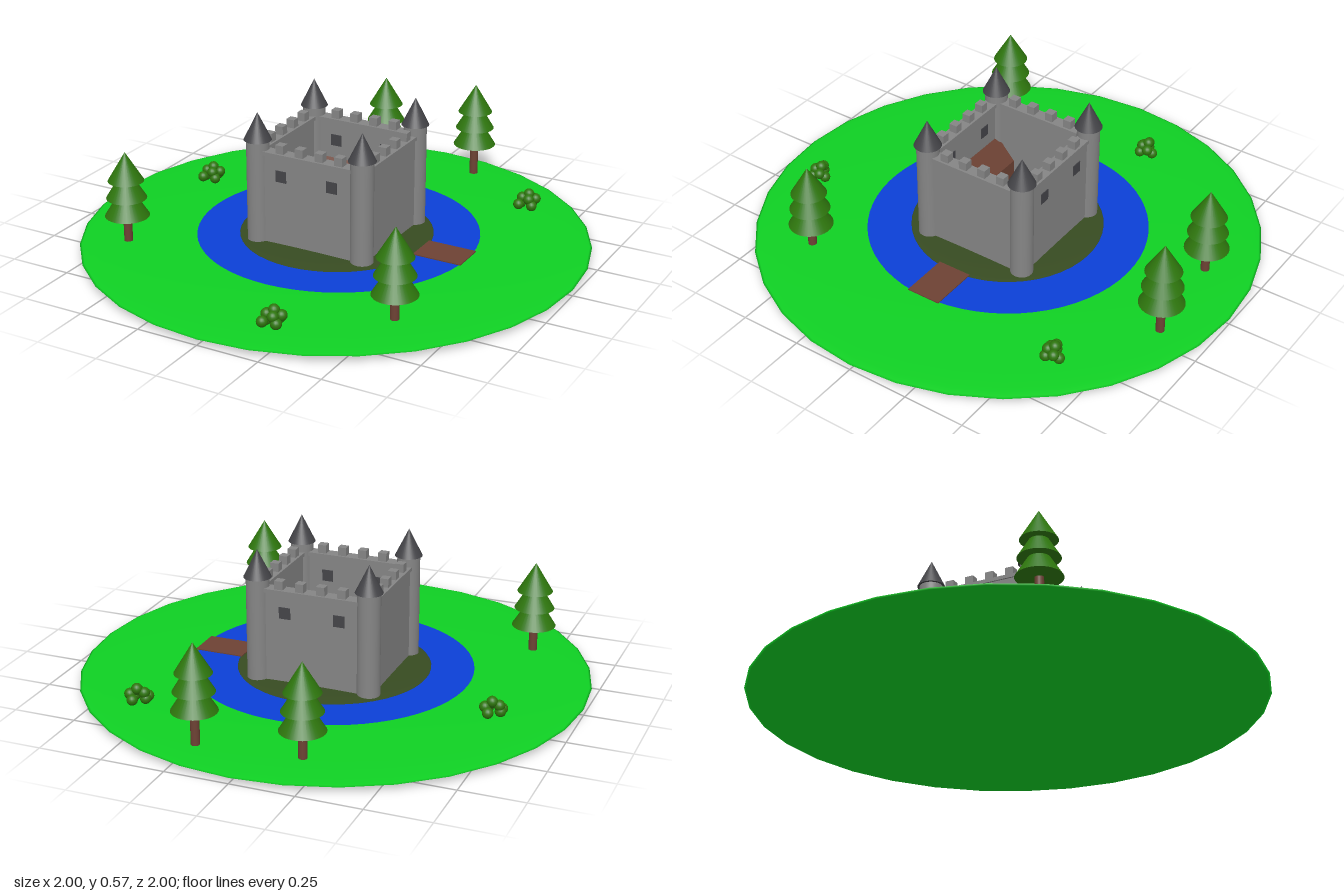
import * as THREE from 'three';

const mat = (name, color, extra = {}) => Object.assign(new THREE.MeshStandardMaterial({ color, ...extra }), { name });

export function createModel() {
  const root = new THREE.Group();
  root.name = 'moatedCastle';
  const grass = mat('grassGreen', 0x0fd023);
  const water = mat('waterBlue', 0x0b3fd6, { side: THREE.DoubleSide });
  const earth = mat('earthOlive', 0x374b21);
  const stone = mat('stoneGrey', 0x858585);
  const slate = mat('slateGrey', 0x444448);
  const wood = mat('woodBrown', 0x6d4234);
  const leaf = mat('leafGreen', 0x2e760d);

  const add = (parent, name, geo, material, x = 0, y = 0, z = 0) => {
    const m = new THREE.Mesh(geo, material);
    m.name = name;
    m.position.set(x, y, z);
    parent.add(m);
    return m;
  };
  const box = (parent, name, material, sx, sy, sz, x, y, z) =>
    add(parent, name, new THREE.BoxGeometry(sx, sy, sz), material, x, y, z);

  // Land: a flattened ball, with the moat and castle mound on top
  const R = 0.023;
  const groundAt = (x, z) => R + R * Math.sqrt(Math.max(0, 1 - x * x - z * z));
  add(root, 'meadow', new THREE.SphereGeometry(1, 32, 24).scale(1, R, 1), grass, 0, R, 0);
  add(root, 'moat', new THREE.RingGeometry(0.34, 0.555, 64).rotateX(-Math.PI / 2), water, 0.01, 0.0465, -0.006);
  add(root, 'mound', new THREE.SphereGeometry(0.385, 48, 16).scale(1, 0.03, 1), earth, 0.005, 0.045, 0);
  box(root, 'bridge', wood, 0.2, 0.004, 0.14, 0.47, 0.051, -0.008);

  // Castle, centred on its own courtyard
  const castle = new THREE.Group();
  castle.name = 'castle';
  castle.position.set(0.004, 0, -0.005);
  root.add(castle);
  const TX = 0.226, TZ = 0.217, base = 0.045, top = 0.41;

  for (const sx of [-1, 1]) for (const sz of [-1, 1]) {
    add(castle, 'tower', new THREE.CylinderGeometry(0.045, 0.045, 0.415, 32), stone, sx * TX, 0.2525, sz * TZ);
    add(castle, 'towerRoof', new THREE.ConeGeometry(0.054, 0.11, 32), slate, sx * TX, 0.515, sz * TZ);
  }

  const h = top - base, midY = base + h / 2;
  for (const s of [-1, 1]) {
    // Walls with a slightly wider walkway
    box(castle, 'longWall', stone, 2 * TX, h, 0.04, 0, midY, s * TZ);
    box(castle, 'longWalkway', stone, 2 * TX, 0.015, 0.052, 0, top + 0.0075, s * TZ);
    box(castle, 'sideWall', stone, 0.04, h, 2 * TZ, s * TX, midY, 0);
    box(castle, 'sideWalkway', stone, 0.052, 0.015, 2 * TZ, s * TX, top + 0.0075, 0);
    // Battlements
    for (let i = 0; i < 4; i++) {
      const d = (i - 1.5) * 0.085;
      box(castle, 'battlement', stone, 0.034, 0.036, 0.034, d + 0.006, 0.441, s * TZ);
      box(castle, 'battlement', stone, 0.034, 0.036, 0.034, s * TX, 0.441, d);
    }
    // Windows seen on both faces of the front and back walls
    for (const x of [-0.113, 0.107]) for (const f of [-1, 1])
      box(castle, 'window', slate, 0.046, 0.046, 0.004, x, 0.335, s * TZ + f * 0.021);
    // Lean-to buildings inside the front and back walls
    const profile = new THREE.Shape([[0, base], [0.08, base], [0.08, 0.17], [0, 0.26]]
      .map(([x, y]) => new THREE.Vector2(x, y)));
    const shed = new THREE.ExtrudeGeometry(profile, { depth: 0.41, bevelEnabled: false });
    shed.translate(0, 0, -0.205).rotateY(s * Math.PI / 2);
    add(castle, 'leanTo', shed, wood, 0, 0, s * (TZ - 0.019));
  }

  // Fir trees: x, z, height of the tip
  for (const [x, z, tip] of [[-0.67, 0.455, 0.405], [0.545, 0.55, 0.397], [-0.19, -0.785, 0.405], [0.21, -0.825, 0.43]]) {
    const tree = new THREE.Group();
    tree.name = 'firTree';
    tree.position.set(x, tip - 0.405, z);
    root.add(tree);
    const foot = groundAt(x, z) - 0.006 - tree.position.y;
    add(tree, 'trunk', new THREE.CylinderGeometry(0.017, 0.017, 0.18 - foot, 16), wood, 0, (0.18 + foot) / 2, 0);
    for (const [r, y, ch] of [[0.087, 0.143, 0.14], [0.079, 0.217, 0.13], [0.07, 0.288, 0.117]])
      add(tree, 'foliage', new THREE.ConeGeometry(r, ch, 32), leaf, 0, y + ch / 2, 0);
  }

  // Bushes: small clusters of balls
  const balls = [[-0.026, 0.02, 0.006], [0.026, 0.02, 0.02], [-0.026, 0.022, 0.03], [0.012, 0.022, -0.03],
    [0.028, 0.04, -0.016], [-0.022, 0.044, 0.004], [0.012, 0.044, 0.018], [0.003, 0.06, -0.006]];
  for (const [x, z] of [[0.56, -0.59], [-0.71, -0.21], [0.19, 0.8]]) {
    const bush = new THREE.Group();
    bush.name = 'bush';
    bush.position.set(x, groundAt(x, z), z);
    root.add(bush);
    for (const [bx, by, bz] of balls)
      add(bush, 'bushBall', new THREE.SphereGeometry(0.0215, 16, 12), leaf, bx, by, bz);
  }
  return root;
}
